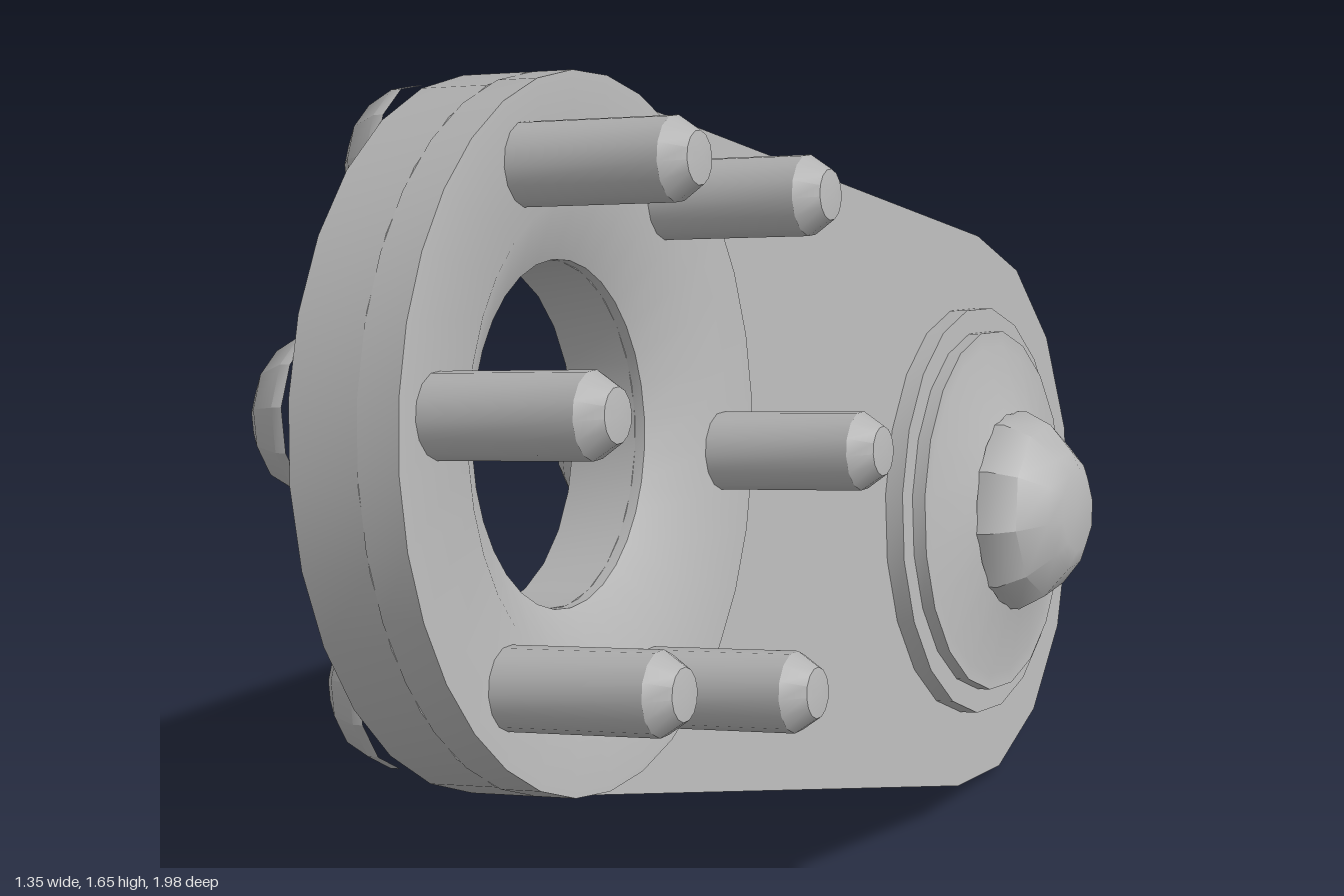
import * as THREE from 'three';
import { toCreasedNormals } from 'three/addons/utils/BufferGeometryUtils.js';

const SPAN = 1.44;   // distance between the two end centres
const PLATE = 0.1;   // plate thickness
const RING = 0.06;   // height of the raised ring
const BORE = 0.235;  // radius of the large hole

export function createModel() {
  const model = new THREE.Group();
  const steel = new THREE.MeshStandardMaterial({ color: 0xb4b4b4 });
  steel.name = 'grey steel';

  // Arm frame: x runs along the arm, z is the plate normal
  const arm = new THREE.Group();
  arm.name = 'crankArm';
  const normal = new THREE.Vector3(0.857, 0.197, 0.476).normalize();
  const along = new THREE.Vector3(0.509, -0.473, -0.719);
  along.addScaledVector(normal, -along.dot(normal)).normalize();
  const across = new THREE.Vector3().crossVectors(normal, along);
  arm.quaternion.setFromRotationMatrix(new THREE.Matrix4().makeBasis(along, across, normal));
  arm.position.set(-0.296, 1.153, 0.491);
  model.add(arm);

  const add = (name, geometry, x = 0, y = 0, z = 0) => {
    const mesh = new THREE.Mesh(toCreasedNormals(geometry, 0.5), steel);
    mesh.name = name;
    mesh.position.set(x, y, z);
    arm.add(mesh);
    return mesh;
  };
  // Turned part with its axis on z; profile is [radius, z] from low z to high z
  const turned = (profile, sides) => new THREE.LatheGeometry(
    profile.map(([r, z]) => new THREE.Vector2(r, z)), sides).rotateX(Math.PI / 2);

  // Plate: long link with a rounded end around each centre and one bore
  const outline = [];
  const arc = (cx, r, from, sides) => {
    for (let i = 0; i <= sides; i++) {
      const a = from + Math.PI * i / sides;
      outline.push(new THREE.Vector2(cx + r * Math.cos(a), r * Math.sin(a)));
    }
  };
  arc(SPAN, 0.47, -Math.PI / 2, 8);
  arc(0, 0.485, Math.PI / 2, 14);
  const shape = new THREE.Shape(outline);
  const hole = new THREE.Path();
  hole.absarc(0, 0, BORE, 0, Math.PI * 2, true);
  shape.holes.push(hole);
  add('plate', new THREE.ExtrudeGeometry(shape,
    { depth: PLATE, bevelEnabled: false, curveSegments: 12 }), 0, 0, -PLATE);

  // Raised ring with a countersunk bore
  add('flangeRing', turned([[BORE, 0], [0.485, 0], [0.485, RING], [0.32, RING],
    [BORE, 0.015], [BORE, 0]], 32));

  // Six studs with domed heads on the back
  const studShape = turned([[0, 0], [0.056, 0], [0.056, 0.28], [0.035, 0.312], [0, 0.316]], 14);
  const headShape = turned([[0, -0.09], [0.05, -0.085], [0.09, -0.055], [0.11, -0.015], [0.11, 0]], 12);
  for (let i = 0; i < 6; i++) {
    const a = i * Math.PI / 3 + 0.03;
    const x = 0.39 * Math.cos(a), y = 0.39 * Math.sin(a);
    add('stud', studShape, x, y, 0);
    add('studHead', headShape, x, y, -PLATE);
  }

  // Front of the pivot: stepped washer, shallow cone and domed bolt head
  add('pivotWasher', turned([[0.345, 0], [0.345, 0.03], [0.305, 0.03], [0.305, 0.052],
    [0.28, 0.052], [0.165, 0.085]], 20), SPAN);
  add('boltHead', turned([[0.168, 0.05], [0.168, 0.1], [0.145, 0.145], [0.1, 0.185],
    [0.07, 0.2], [0, 0.2]], 10), SPAN);

  // Back of the pivot: spacer flaring into a dish, washer, hex nut and bolt end
  add('rearDish', turned([[0.18, -0.12], [0.22, -0.12], [0.31, -0.17], [0.315, -0.145],
    [0.21, -0.07], [0.21, 0]], 18), SPAN, 0, -PLATE);
  add('rearWasher', turned([[0, -0.19], [0.23, -0.19], [0.23, -0.16], [0.19, -0.11]], 18),
    SPAN, 0, -PLATE);
  add('hexNut', turned([[0, -0.31], [0.15, -0.31], [0.18, -0.285], [0.18, -0.185]], 6),
    SPAN, 0, -PLATE);
  add('boltEnd', turned([[0, -0.42], [0.05, -0.41], [0.09, -0.375], [0.09, -0.3]], 12),
    SPAN, 0, -PLATE);

  return model;
}
